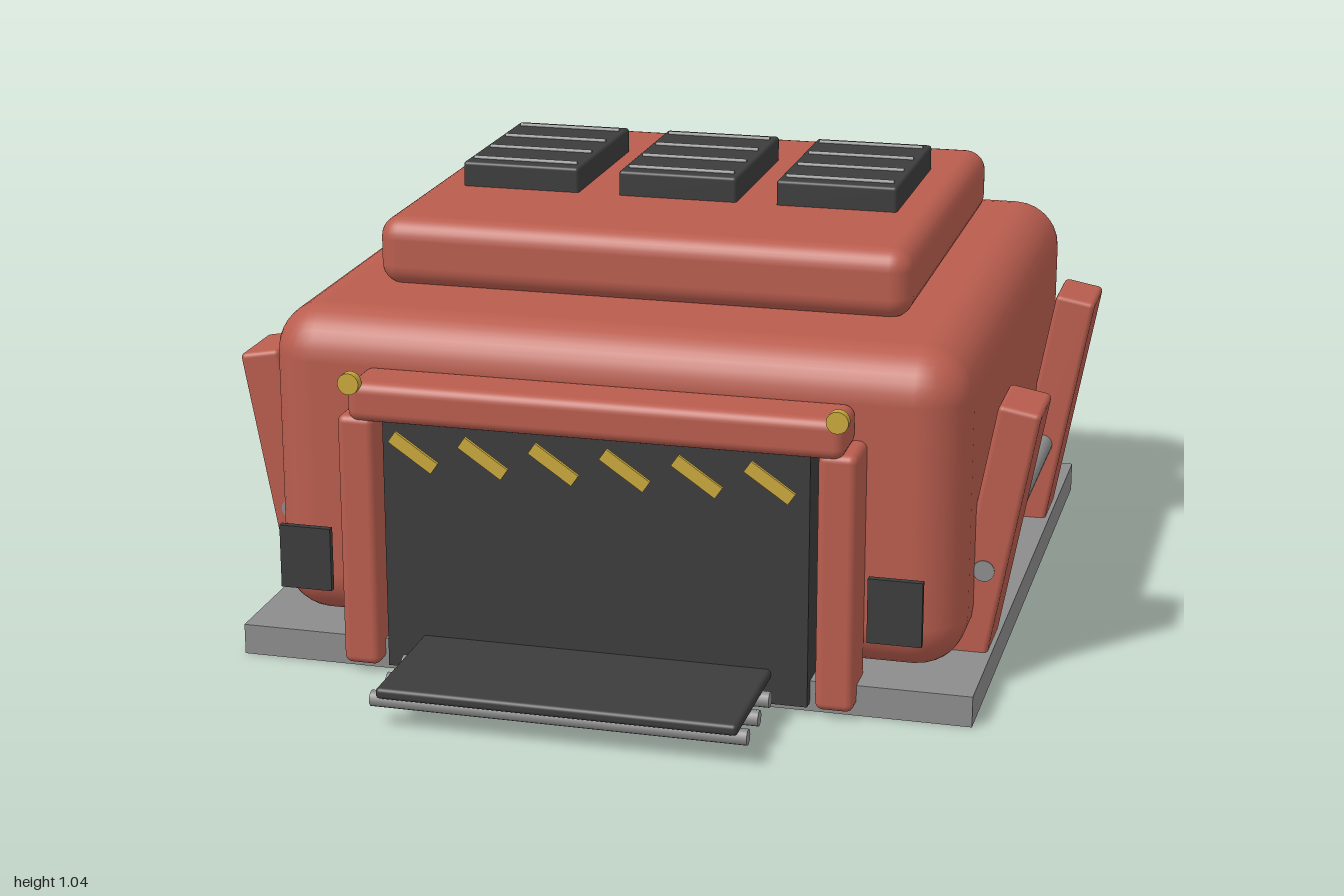
import * as THREE from 'three';
import { RoundedBoxGeometry } from 'three/addons/geometries/RoundedBoxGeometry.js';

const material = (name, color) => {
  const m = new THREE.MeshStandardMaterial({ color });
  m.name = name;
  return m;
};

export function createModel() {
  const red = material('brick red', 0xb95d4e);
  const grey = material('concrete grey', 0x8c8c8c);
  const dark = material('charcoal', 0x3c3c3c);
  const gold = material('hazard yellow', 0xc8a83c);

  const model = new THREE.Group();
  model.name = 'garageBuilding';

  function add(name, geometry, mat, x, y, z, parent = model) {
    const mesh = new THREE.Mesh(geometry, mat);
    mesh.name = name;
    mesh.position.set(x, y, z);
    parent.add(mesh);
    return mesh;
  }

  // Box given by its extents on each axis; radius > 0 rounds the edges
  function block(name, mat, [x0, x1], [y0, y1], [z0, z1], radius = 0, parent = model) {
    const size = [x1 - x0, y1 - y0, z1 - z0];
    const geometry = radius
      ? new RoundedBoxGeometry(...size, 4, radius)
      : new THREE.BoxGeometry(...size);
    return add(name, geometry, mat, (x0 + x1) / 2, (y0 + y1) / 2, (z0 + z1) / 2, parent);
  }

  // Rod lying along x or z
  function rod(name, mat, axis, radius, length, x, y, z, parent = model) {
    const geometry = new THREE.CylinderGeometry(radius, radius, length, 16);
    if (axis === 'x') geometry.rotateZ(Math.PI / 2);
    else geometry.rotateX(Math.PI / 2);
    return add(name, geometry, mat, x, y, z, parent);
  }

  // Foundation, main hall and raised roof
  block('foundation', grey, [-0.855, 0.855], [0, 0.072], [-1, 0.648]);
  block('mainHall', red, [-0.81, 0.81], [0.07, 0.815], [-0.985, 0.575], 0.115);
  block('roofDeck', red, [-0.632, 0.632], [0.81, 0.973], [-0.797, 0.297], 0.05);

  // Roof vents with thin slats
  for (const x of [-0.39, 0, 0.387]) {
    const vent = new THREE.Group();
    vent.name = 'roofVent';
    vent.position.x = x;
    model.add(vent);
    block('ventBox', dark, [-0.145, 0.145], [0.965, 1.033], [-0.53, -0.065], 0.008, vent);
    for (let i = 0; i < 4; i++) {
      rod('ventSlat', grey, 'x', 0.006, 0.26, 0, 1.034, -0.487 + i * 0.126, vent);
    }
  }

  // Door and its frame
  block('door', dark, [-0.49, 0.49], [0.02, 0.615], [0.56, 0.677]);
  block('doorHeader', red, [-0.567, 0.567], [0.607, 0.7], [0.56, 0.702], 0.025);
  for (let i = 0; i < 6; i++) {
    const stripe = add('hazardStripe', new THREE.BoxGeometry(0.12, 0.03, 0.009), gold,
      -0.408 + i * 0.163, 0.55, 0.706);
    stripe.rotation.z = -0.6;
  }

  // Entry ramp on rollers
  block('ramp', dark, [-0.407, 0.407], [0.076, 0.102], [0.64, 1], 0.01);
  for (const z of [0.76, 0.865, 0.97]) {
    rod('rampRoller', grey, 'x', 0.018, 0.85, 0, 0.066, z);
  }

  // Parts mirrored on both sides
  for (const side of [-1, 1]) {
    const span = (a, b) => (side > 0 ? [a, b] : [-b, -a]);
    block('doorPost', red, span(0.508, 0.595), [0.02, 0.618], [0.56, 0.692], 0.018);
    block('wallPanel', dark, span(0.622, 0.744), [0.19, 0.34], [0.667, 0.683]);
    rod('doorLamp', gold, 'z', 0.025, 0.022, side * 0.555, 0.7, 0.704);
    rod('sidePipe', grey, 'z', 0.025, 1.25, side * 0.831, 0.27, -0.235);
    for (const z of [0.298, -0.64]) {
      const buttress = add('buttress', new RoundedBoxGeometry(0.098, 0.61, 0.178, 3, 0.012),
        red, side * 0.846, 0.354, z);
      buttress.rotation.z = -side * 0.18;
    }
  }
  return model;
}
